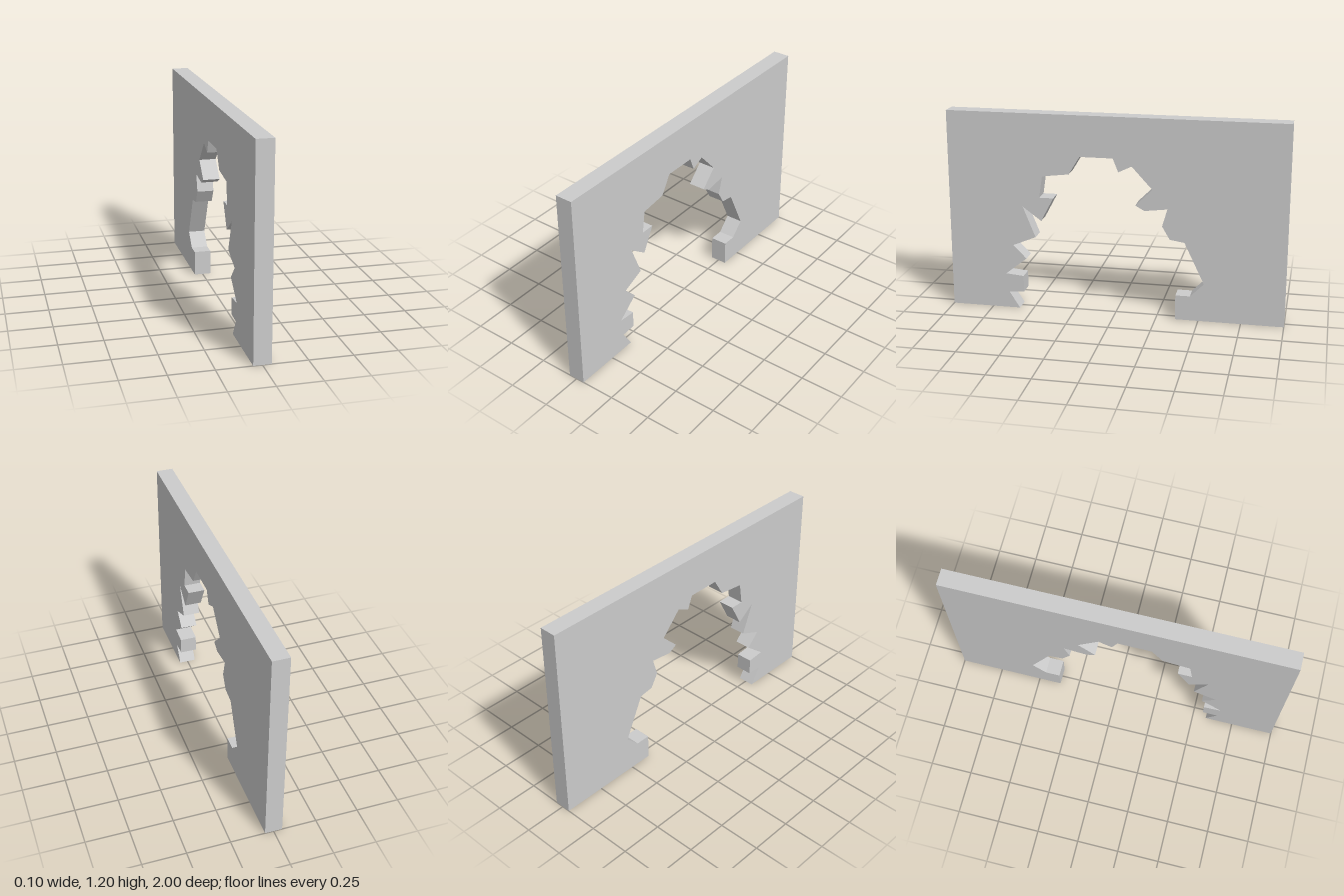
import * as THREE from 'three';

const WIDTH = 2, HEIGHT = 1.2, THICKNESS = 0.1;

// Jagged edge of the broken opening, as [across, up], from one foot to the other
const BREACH = [
  [-0.583, 0], [-0.647, 0.1], [-0.556, 0.105], [-0.556, 0.205], [-0.663, 0.215],
  [-0.535, 0.317], [-0.615, 0.397], [-0.476, 0.455], [-0.551, 0.64], [-0.44, 0.558],
  [-0.365, 0.7], [-0.449, 0.7], [-0.43, 0.83], [-0.27, 0.85], [-0.205, 0.957],
  [-0.01, 0.957], [0.022, 0.877], [0.1, 0.915], [0.222, 0.783], [0.123, 0.685],
  [0.176, 0.655], [0.31, 0.672], [0.28, 0.568], [0.326, 0.49], [0.412, 0.477],
  [0.53, 0.23], [0.45, 0.15], [0.364, 0.15], [0.364, 0],
];

// Removes the triangles lying on the ground, leaving the underside open
function openUnderside(geometry) {
  const source = geometry.index ? geometry.toNonIndexed() : geometry;
  const pos = source.getAttribute('position');
  const kept = [];
  for (let i = 0; i < pos.count; i += 3) {
    const top = Math.max(pos.getY(i), pos.getY(i + 1), pos.getY(i + 2));
    if (top > 1e-4) kept.push(i, i + 1, i + 2);
  }
  source.setIndex(kept);
  return source;
}

export function createModel() {
  const group = new THREE.Group();
  group.name = 'brokenWall';

  // Wall outline with the opening cut up from the ground
  const outline = [
    [-WIDTH / 2, 0], ...BREACH, [WIDTH / 2, 0],
    [WIDTH / 2, HEIGHT], [-WIDTH / 2, HEIGHT],
  ].map(([x, y]) => new THREE.Vector2(x, y));

  const geometry = new THREE.ExtrudeGeometry(new THREE.Shape(outline), {
    depth: THICKNESS, bevelEnabled: false,
  });
  geometry.translate(0, 0, -THICKNESS / 2);
  geometry.rotateY(Math.PI / 2); // the wall runs along z

  const wall = new THREE.Mesh(
    openUnderside(geometry),
    new THREE.MeshStandardMaterial({ color: 0xcccccc, flatShading: true, side: THREE.DoubleSide })
  );
  wall.name = 'wall';
  group.add(wall);
  return group;
}
